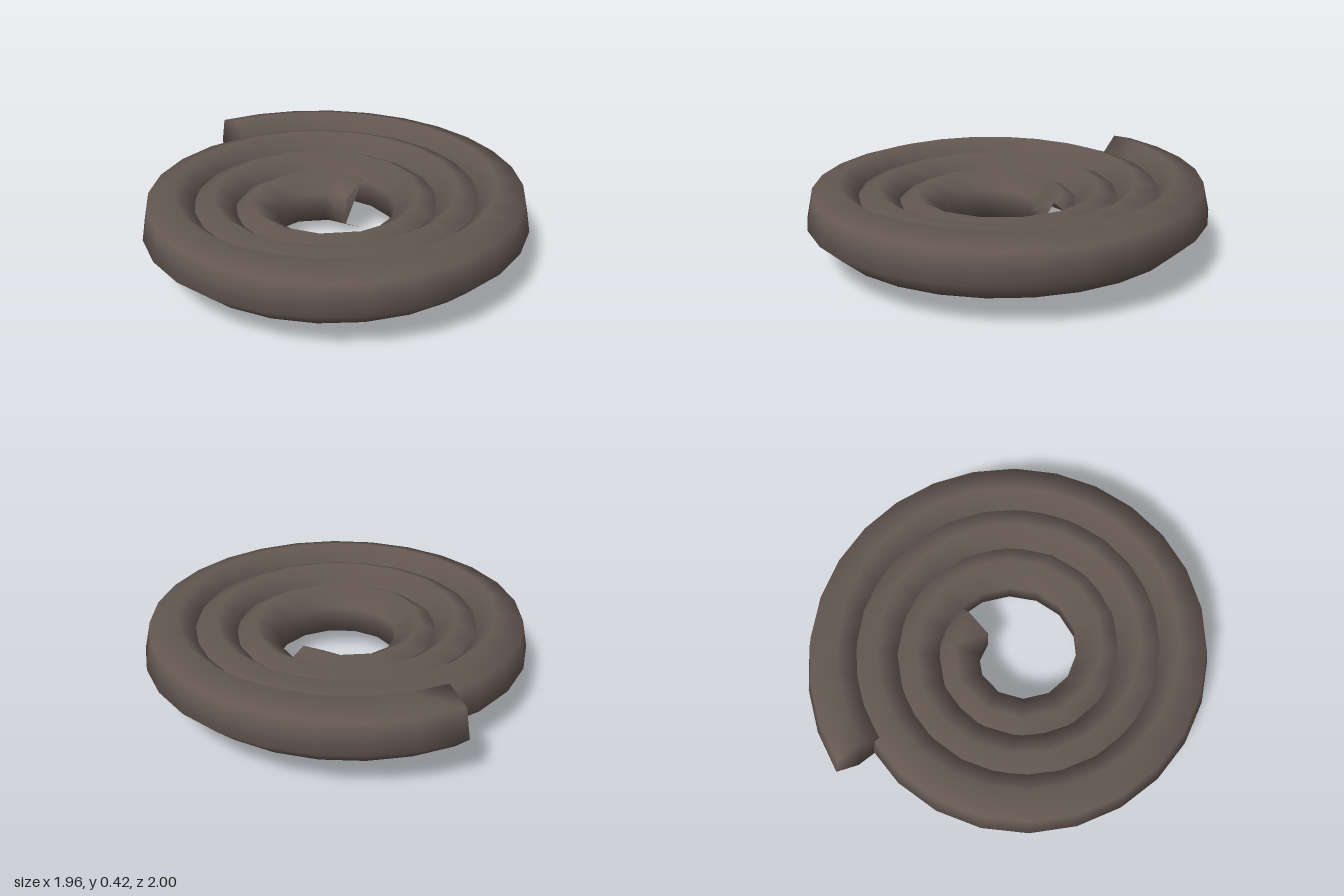
import * as THREE from 'three';
import { mergeVertices } from 'three/addons/utils/BufferGeometryUtils.js';

const TURNS = 3.2;
const SIDES = 6;
const SEGMENTS = 64;

// Spiral that widens and climbs gently with each turn
class Spiral extends THREE.Curve {
  getPoint(u, target = new THREE.Vector3()) {
    const t = u * TURNS;
    const angle = t * Math.PI * 2;
    const radius = 0.308 + 0.195 * t;
    return target.set(
      -0.05 + radius * Math.cos(angle),
      0.145 + 0.042 * t,
      0.01 - radius * Math.sin(angle)
    );
  }
}

export function createModel() {
  const group = new THREE.Group();
  group.name = 'spiralCoil';

  const brown = new THREE.MeshStandardMaterial({ color: 0x655852 });
  brown.name = 'dark brown';

  // Six-sided tube with its seam welded
  const tube = new THREE.TubeGeometry(new Spiral(), SEGMENTS, 0.145, SIDES, false);
  tube.deleteAttribute('uv');
  tube.deleteAttribute('normal');
  const geometry = mergeVertices(tube, 1e-4);

  // Flat caps sharing the end rings, so the shading rolls over the ends
  const index = Array.from(geometry.index.array);
  const last = SEGMENTS * SIDES;
  for (let k = 1; k < SIDES - 1; k++) {
    index.push(0, k, k + 1);
    index.push(last, last + k + 1, last + k);
  }
  geometry.setIndex(index);
  geometry.computeVertexNormals();

  const coil = new THREE.Mesh(geometry, brown);
  coil.name = 'coil';
  group.add(coil);
  return group;
}
